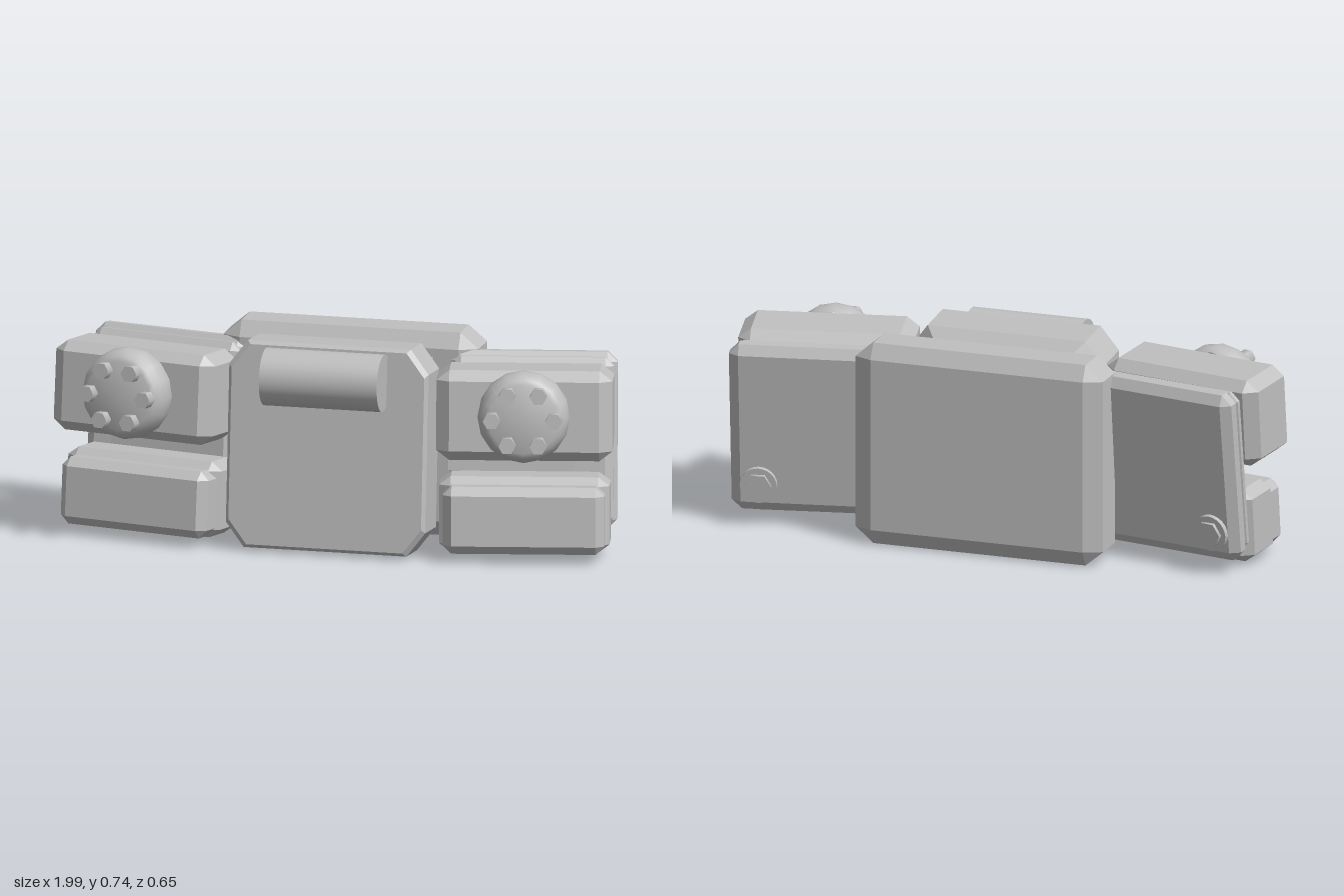
import * as THREE from 'three';
import { toCreasedNormals } from 'three/addons/utils/BufferGeometryUtils.js';
import { ConvexGeometry } from 'three/addons/geometries/ConvexGeometry.js';

const grey = new THREE.MeshStandardMaterial({ color: 0xbfbfbf });
grey.name = 'plainGrey';

function add(parent, name, geometry, x = 0, y = 0, z = 0) {
  const mesh = new THREE.Mesh(geometry, grey);
  mesh.name = name;
  mesh.position.set(x, y, z);
  parent.add(mesh);
  return mesh;
}

// Box with every edge chamfered
function chamferBox(w, h, d, cx, cy = cx, cz = cx) {
  const points = [];
  const a = w / 2, b = h / 2, c = d / 2;
  for (const i of [-1, 1]) for (const j of [-1, 1]) for (const k of [-1, 1]) {
    points.push(
      new THREE.Vector3(i * a, j * (b - cy), k * (c - cz)),
      new THREE.Vector3(i * (a - cx), j * b, k * (c - cz)),
      new THREE.Vector3(i * (a - cx), j * (b - cy), k * c));
  }
  return new ConvexGeometry(points);
}

// Octagonal block made from [z, inset] sections
function octagonBlock(w, h, cx, cy, sections) {
  const points = [];
  for (const [z, inset] of sections) {
    const a = w / 2 - inset, b = h / 2 - inset;
    for (const i of [-1, 1]) for (const j of [-1, 1]) {
      points.push(new THREE.Vector3(i * a, j * (b - cy), z), new THREE.Vector3(i * (a - cx), j * b, z));
    }
  }
  return new ConvexGeometry(points);
}

// Cylinder whose axis runs along z
function disc(r, depth, sides) {
  return new THREE.CylinderGeometry(r, r, depth, sides).rotateY(Math.PI / 6).rotateX(Math.PI / 2);
}

// Rounded hub whose base sits on z = 0
function domedHub() {
  const profile = [[0.15, 0], [0.16, 0.02], [0.16, 0.055], [0.152, 0.085], [0.137, 0.107], [0.12, 0.115], [0, 0.115]]
    .map(([r, y]) => new THREE.Vector2(r, y));
  return toCreasedNormals(new THREE.LatheGeometry(profile, 16).rotateX(Math.PI / 2), 0.6);
}

function tilted(parent, name, x, y, z, pitch, yaw) {
  const group = new THREE.Group();
  group.name = name;
  group.rotation.order = 'YXZ';
  group.position.set(x, y, z);
  group.rotation.set(pitch, yaw, 0);
  parent.add(group);
  return group;
}

function addSide(model, s) {
  const side = s > 0 ? 'left' : 'right';
  const yaw = 0.205 * s;

  // Upper block with bolted hub
  const upper = tilted(model, side + 'UpperPod', 0.677 * s, 0.525, 0.055, -0.085, yaw);
  add(upper, 'upperBlock', chamferBox(0.61, 0.315, 0.24, 0.045, 0.035, 0.035));
  add(upper, 'hub', domedHub(), 0, 0.005, 0.1);
  for (let i = 0; i < 6; i++) {
    const a = i * Math.PI / 3;
    add(upper, 'hubBolt', disc(0.03, 0.06, 6), Math.cos(a) * 0.108, 0.005 + Math.sin(a) * 0.1, 0.225);
  }
  add(upper, 'rearCoupling', disc(0.085, 0.08, 24), 0.09 * s, 0.005, -0.15);

  // Lower block in two steps
  const lower = tilted(model, side + 'LowerPod', 0.672 * s, 0.16, 0.045, -0.085, yaw);
  add(lower, 'lowerRearBlock', chamferBox(0.59, 0.265, 0.18, 0.04, 0.03, 0.03), 0, 0, -0.035);
  add(lower, 'lowerFrontBlock', chamferBox(0.56, 0.235, 0.13, 0.03, 0.03, 0.03), 0, -0.01, 0.065);
  add(lower, 'rearCoupling', disc(0.055, 0.08, 24), 0.09 * s, 0.04, -0.14);

  // Link between the pods
  const link = tilted(model, side + 'Link', 0.6 * s, 0.38, -0.05, -0.085, yaw);
  add(link, 'linkBlock', new THREE.BoxGeometry(0.43, 0.17, 0.1));

  // Layered rear panel with corner bolt
  const panel = tilted(model, side + 'RearPanel', 0.652 * s, 0.37, -0.165, -0.12, yaw * 0.95);
  add(panel, 'panelBack', chamferBox(0.58, 0.62, 0.075, 0.035, 0.035, 0.022), 0, 0, -0.018);
  add(panel, 'panelFront', chamferBox(0.56, 0.59, 0.05, 0.03, 0.03, 0.018), 0, 0, 0.032);
  add(panel, 'boltWasher', disc(0.065, 0.025, 24), 0.19 * s, -0.205, -0.06);
  add(panel, 'panelBolt', disc(0.048, 0.035, 6), 0.19 * s, -0.205, -0.068);
}

export function createModel() {
  const model = new THREE.Group();
  model.name = 'armouredPack';

  // Central block, leaning back slightly
  const core = tilted(model, 'core', 0, 0.373, 0.072, -0.09, 0);
  add(core, 'coreBlock', octagonBlock(0.71, 0.725, 0.065, 0.085,
    [[0.112, 0.012], [0.098, 0], [-0.055, 0], [-0.108, 0.045]]));

  // Horizontal drum across the top front
  add(model, 'frontDrum', new THREE.CylinderGeometry(0.1, 0.1, 0.42, 32).rotateZ(Math.PI / 2), 0, 0.635, 0.208);

  // Rear slab and the spacer joining it to the core
  add(model, 'rearSlab', chamferBox(0.91, 0.725, 0.18, 0.065, 0.055, 0.03), 0, 0.372, -0.232);
  add(model, 'spacer', new THREE.BoxGeometry(0.6, 0.5, 0.16), 0, 0.4, -0.09);

  for (const s of [-1, 1]) addSide(model, s);
  return model;
}
